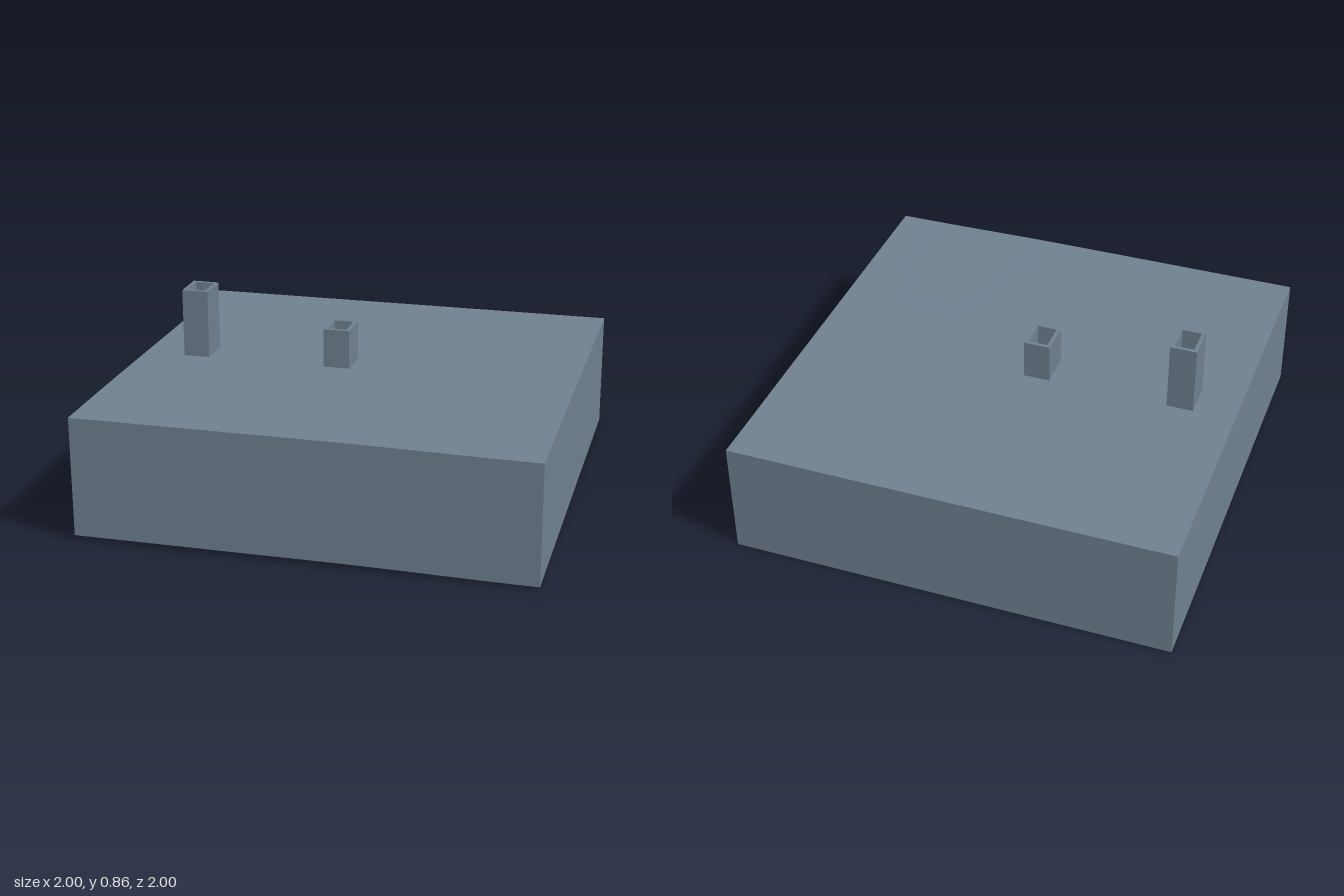
import * as THREE from 'three';

const THICK = 0.535;
const N = 24;

// Gentle ground relief: rises to the front, sinks slightly at the front right
function relief(x, z) {
  const slope = 0.016 + 0.011 * Math.sin(z * 1.5);
  const dip = 0.009 * THREE.MathUtils.smoothstep(x, 0.1, 1) * THREE.MathUtils.smoothstep(z, -0.6, 0.8);
  return Math.max(0, slope - dip - 0.005);
}

export function createModel() {
  const group = new THREE.Group();
  const slate = new THREE.MeshStandardMaterial({ color: 0x708090, side: THREE.DoubleSide });
  slate.name = 'slate grey';

  const add = (name, geometry) => {
    geometry.computeVertexNormals();
    const mesh = new THREE.Mesh(geometry, slate);
    mesh.name = name;
    group.add(mesh);
    return mesh;
  };

  // Ground surface, a smooth sheet
  const ground = new THREE.PlaneGeometry(2, 2, N, N).rotateX(-Math.PI / 2);
  const p = ground.attributes.position;
  for (let i = 0; i < p.count; i++) p.setY(i, THICK + relief(p.getX(i), p.getZ(i)));
  add('groundSurface', ground);

  // Four skirt walls following the ground, open underneath
  ['frontWall', 'leftWall', 'backWall', 'rightWall'].forEach((name, k) => {
    const wall = new THREE.PlaneGeometry(2, 1, N, 1).translate(0, 0.5, 1).rotateY(k * Math.PI / 2);
    const w = wall.attributes.position;
    for (let i = 0; i < w.count; i++) {
      w.setY(i, w.getY(i) * THICK + relief(w.getX(i), w.getZ(i)));
    }
    add(name, wall);
  });

  // Hollow rectangular shafts standing on the ground
  const rectangle = (Type, w, d) => new Type([
    new THREE.Vector2(-w, -d), new THREE.Vector2(w, -d),
    new THREE.Vector2(w, d), new THREE.Vector2(-w, d),
  ]);
  for (const [name, x, top] of [['tallShaft', -0.75, 0.86], ['shortShaft', -0.085, 0.725]]) {
    const shape = rectangle(THREE.Shape, 0.06, 0.08);
    shape.holes.push(rectangle(THREE.Path, 0.043, 0.063));
    const base = THICK + 0.005;
    const shaft = new THREE.ExtrudeGeometry(shape, { depth: top - base, bevelEnabled: false });
    shaft.rotateX(-Math.PI / 2).translate(x, base, 0);
    add(name, shaft);
  }
  return group;
}
